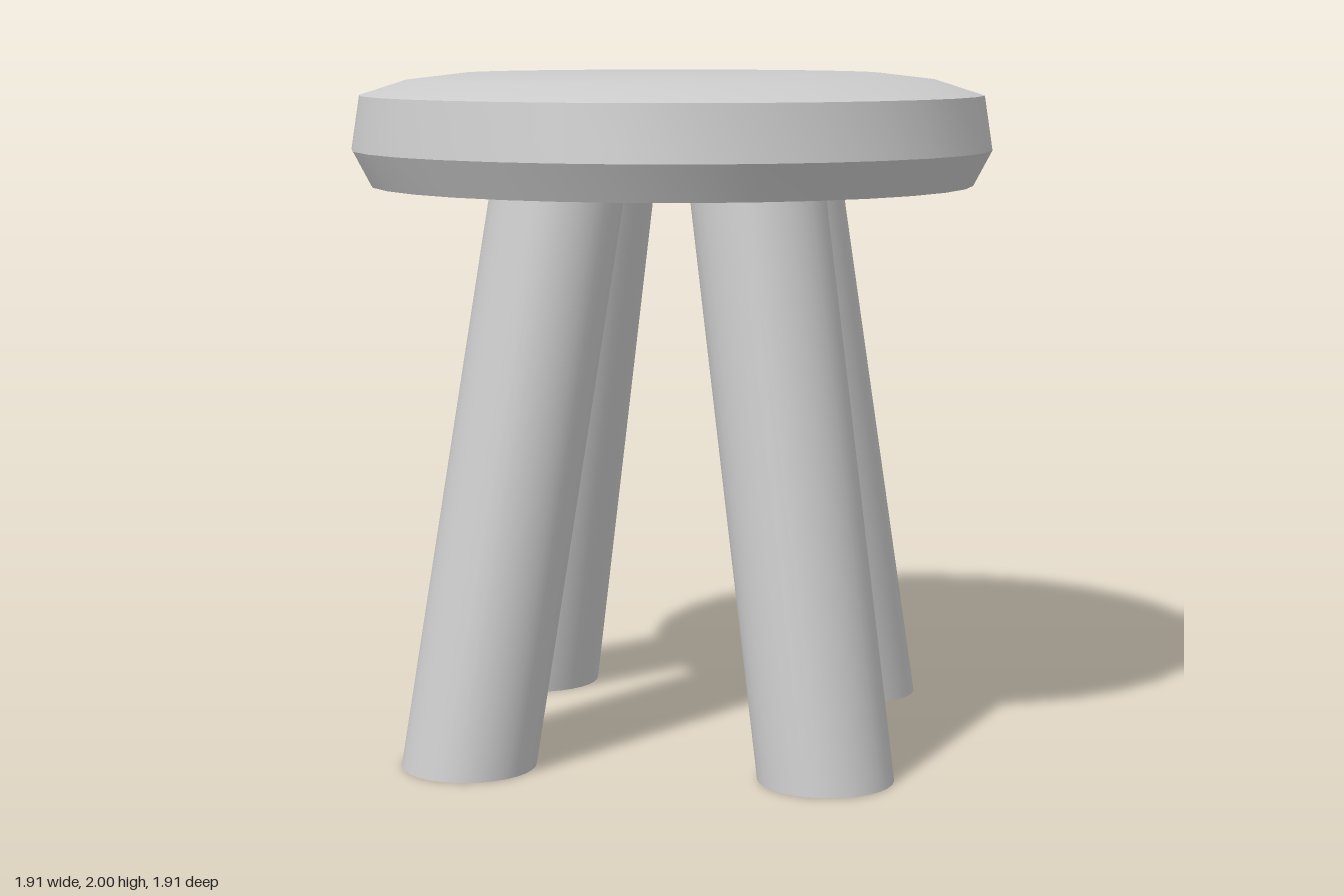
import * as THREE from 'three';
import { toCreasedNormals } from 'three/addons/utils/BufferGeometryUtils.js';

const material = new THREE.MeshStandardMaterial({ color: 0xcccccc });
const SIDES = 32;
const CREASE = 0.5;

// Round seat: undercut lower bevel, slightly tapered rim, softly domed top
function createSeat() {
  const profile = [
    [0, 1.67], [0.9, 1.67], [0.955, 1.775], [0.93, 1.935],
    [0.79, 1.98], [0.62, 2], [0, 2],
  ].map(([r, y]) => new THREE.Vector2(r, y));
  const seat = new THREE.Mesh(toCreasedNormals(new THREE.LatheGeometry(profile, SIDES), CREASE), material);
  seat.name = 'seat';
  return seat;
}

// Splayed leg: a cylinder sheared outwards so its foot stays flat on the floor
function createLeg(sx, sz) {
  const height = 1.7, foot = 0.522, slope = 0.138;
  const geometry = new THREE.CylinderGeometry(0.197, 0.197, height, SIDES);
  geometry.translate(0, height / 2, 0);
  const p = geometry.attributes.position;
  for (let i = 0; i < p.count; i++) {
    const offset = foot - slope * p.getY(i);
    p.setX(i, p.getX(i) + sx * offset);
    p.setZ(i, p.getZ(i) + sz * offset);
  }
  const leg = new THREE.Mesh(toCreasedNormals(geometry, CREASE), material);
  leg.name = (sz > 0 ? 'front' : 'back') + (sx > 0 ? 'Left' : 'Right') + 'Leg';
  return leg;
}

export function createModel() {
  const stool = new THREE.Group();
  stool.name = 'stool';
  stool.add(createSeat());
  for (const sx of [-1, 1]) for (const sz of [-1, 1]) stool.add(createLeg(sx, sz));
  return stool;
}
